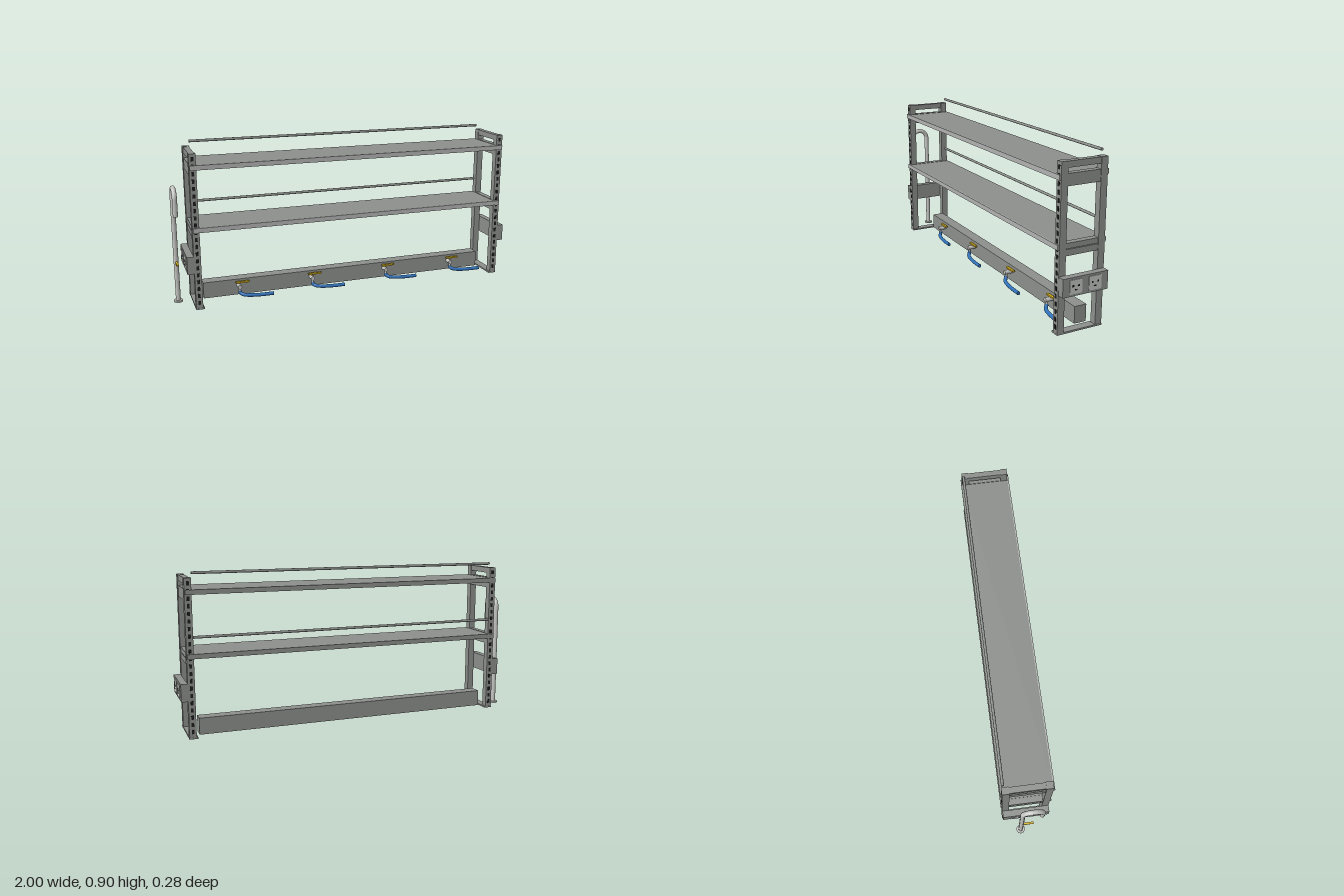
import * as THREE from 'three';

const mat = (name, color, side = THREE.FrontSide) => {
  const m = new THREE.MeshStandardMaterial({ color, side });
  m.name = name;
  return m;
};

export function createModel() {
  const steel = mat('steel grey', 0x8c8f8c);
  const rail = mat('light rail grey', 0xb0b2b0);
  const chrome = mat('pale pipe', 0xc4c4c2);
  const plate = mat('socket plate', 0xc2c4c2);
  const black = mat('black', 0x1c1c1c);
  const blue = mat('blue hose', 0x2f70b8);
  const yellow = mat('yellow handle', 0xd6b21c);

  const root = new THREE.Group();
  root.name = 'benchRack';

  const add = (parent, name, geo, material, x = 0, y = 0, z = 0) => {
    const mesh = new THREE.Mesh(geo, material);
    mesh.name = name;
    mesh.position.set(x, y, z);
    parent.add(mesh);
    return mesh;
  };
  // Box given by its limits on each axis
  const box = (parent, name, material, x0, x1, y0, y1, z0, z1) =>
    add(parent, name, new THREE.BoxGeometry(x1 - x0, y1 - y0, z1 - z0), material,
      (x0 + x1) / 2, (y0 + y1) / 2, (z0 + z1) / 2);
  const group = (name, x = 0, y = 0, z = 0) => {
    const g = new THREE.Group();
    g.name = name;
    g.position.set(x, y, z);
    root.add(g);
    return g;
  };
  const v = (x, y, z) => new THREE.Vector3(x, y, z);

  const CX = 0.03, POST = 0.911, HALF = 0.019;

  // End frames; local +x points outward
  for (const s of [1, -1]) {
    const f = group(s > 0 ? 'leftEndFrame' : 'rightEndFrame', CX + s * POST);
    if (s < 0) f.rotation.y = Math.PI;
    box(f, 'footPlate', steel, -0.027, 0.02, 0, 0.009, -0.132, 0.132);
    for (const e of [1, -1]) {
      const z0 = e > 0 ? 0.093 : -0.131;
      box(f, 'post', steel, -HALF, HALF, 0.009, 0.868, z0, z0 + 0.038);
      // Mounting slots on the outer post faces
      for (let i = 0; i < 21; i++) {
        add(f, 'slot', new THREE.BoxGeometry(0.014, 0.022, 0.003), black,
          0, 0.04 + i * 0.04, e * 0.1315);
      }
    }
    box(f, 'topBar', steel, -0.016, 0.016, 0.835, 0.867, -0.093, 0.093);
    for (const y of [0.747, 0.403]) {
      box(f, 'shelfBracket', steel, -0.016, 0.016, y, y + 0.033, -0.093, 0.093);
    }

    // Socket box with two outlets
    box(f, 'socketBox', steel, HALF, HALF + 0.037, 0.209, 0.306, -0.132, 0.13);
    for (const z of [0.056, -0.056]) {
      const px = HALF + 0.037;
      box(f, 'socketPlate', plate, px, px + 0.003, 0.221, 0.294, z - 0.036, z + 0.036);
      for (const d of [-0.016, 0.016]) {
        add(f, 'socketHole', new THREE.BoxGeometry(0.002, 0.01, 0.009), black, px + 0.003, 0.263, z + d);
      }
      add(f, 'socketSlot', new THREE.BoxGeometry(0.002, 0.006, 0.013), black, px + 0.003, 0.242, z);
    }
  }

  // Two shelves with edge rails and a rod above the back edge
  [[0.78, 0.893], [0.439, 0.553]].forEach(([y, rodY]) => {
    const g = group('shelf');
    box(g, 'shelfPanel', steel, -0.862, 0.922, y, y + 0.026, -0.132, 0.132);
    for (const s of [1, -1]) {
      const x = CX + s * 0.91;
      box(g, 'shelfEnd', steel, x - 0.017, x + 0.017, y, y + 0.028, -0.093, 0.093);
    }
    box(g, 'frontRail', rail, -0.897, 0.957, y, y + 0.026, 0.132, 0.14);
    box(g, 'backRail', steel, -0.897, 0.957, y, y + 0.026, -0.139, -0.132);
    const rod = add(g, 'backRod', new THREE.CylinderGeometry(0.0075, 0.0075, 1.78, 16), steel, CX, rodY, -0.122);
    rod.rotation.z = Math.PI / 2;
  });

  // Service duct
  box(root, 'serviceDuct', steel, -0.837, 0.898, 0.006, 0.099, -0.081, -0.011);

  // Taps along the duct, each with a trailing hose
  for (const x of [-0.636, -0.203, 0.262, 0.695]) {
    const t = group('tap', x);
    const body = add(t, 'tapBody', new THREE.CylinderGeometry(0.012, 0.012, 0.047, 20), chrome, 0, 0.065, 0.0125);
    body.rotation.x = Math.PI / 2;
    add(t, 'tapSpout', new THREE.CylinderGeometry(0.007, 0.007, 0.03, 16), chrome, 0, 0.046, 0.024);
    add(t, 'handleStem', new THREE.CylinderGeometry(0.004, 0.004, 0.012, 12), yellow, 0, 0.079, 0.009);
    box(t, 'tapHandle', yellow, -0.019, 0.06, 0.082, 0.091, 0.002, 0.016);
    const path = new THREE.CatmullRomCurve3([
      v(0, 0.04, 0.025), v(0.003, 0.028, 0.029), v(0.02, 0.02, 0.04),
      v(0.06, 0.015, 0.048), v(0.12, 0.012, 0.051), v(0.19, 0.012, 0.052)]);
    add(t, 'hose', new THREE.TubeGeometry(path, 28, 0.0105, 12), blue);
    // Hose ends
    const end = add(t, 'hoseEnd', new THREE.CircleGeometry(0.0105, 12), blue, 0.19, 0.012, 0.052);
    end.rotation.y = Math.PI / 2;
  }

  // Swan-neck water pipe
  const neck = group('swanNeck', -0.977, 0, -0.031);
  const R = 0.0535, topY = 0.614, r = 0.0135;
  add(neck, 'pipeFlange', new THREE.CylinderGeometry(0.025, 0.025, 0.01, 28), chrome, 0, 0.005, 0);
  add(neck, 'pipeRiser', new THREE.CylinderGeometry(r, r, topY, 20), chrome, 0, topY / 2, 0);
  const bend = add(neck, 'pipeBend', new THREE.TorusGeometry(R, r, 16, 32, Math.PI), chrome, 0, topY, R);
  bend.rotation.y = Math.PI / 2;
  add(neck, 'pipeOutlet', new THREE.CylinderGeometry(r, r, topY - 0.522, 20), chrome, 0, (topY + 0.522) / 2, 2 * R);
  box(neck, 'pipeLever', yellow, -0.006, 0.006, 0.23, 0.24, 0.008, 0.07);

  return root;
}
